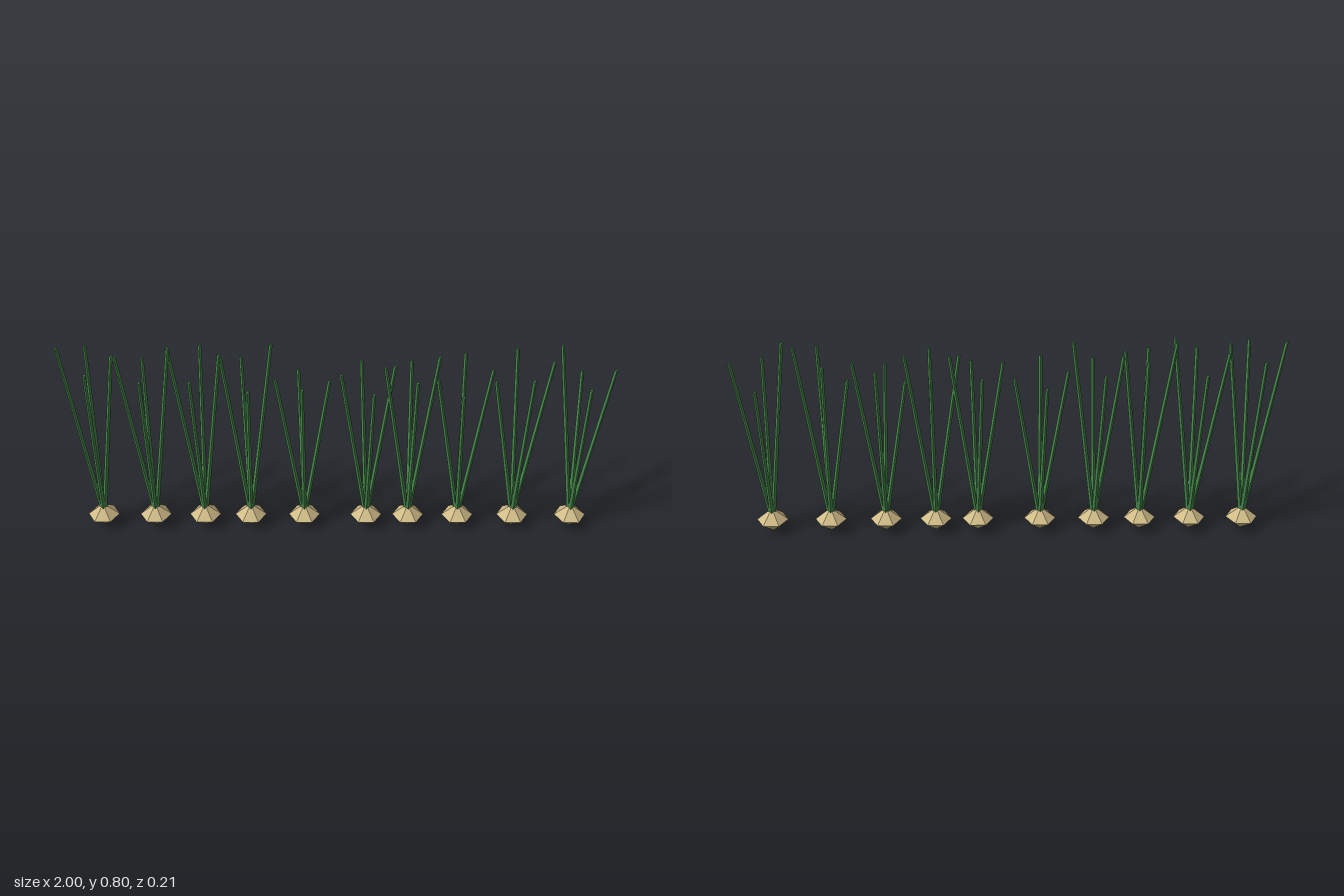
import * as THREE from 'three';

const bulbMaterial = new THREE.MeshStandardMaterial({ color: 0xcfbb88, flatShading: true });
bulbMaterial.name = 'tan bulb';
const leafMaterial = new THREE.MeshStandardMaterial({ color: 0x45854a, flatShading: true });
leafMaterial.name = 'leaf green';

// Each plant: centre x, then four leaf tips [x offset, height, z] in the order left, right, back, front
const plants = [
  [-0.896, [-0.098, 0.79, -0.012], [0.098, 0.775, 0.01], [-0.014, 0.75, -0.098], [0.014, 0.75, 0.098]],
  [-0.696, [-0.098, 0.75, -0.02], [0.098, 0.80, 0.0], [-0.012, 0.70, -0.098], [0.002, 0.72, 0.098]],
  [-0.506, [-0.098, 0.79, -0.02], [0.085, 0.76, -0.02], [0.01, 0.75, -0.098], [-0.012, 0.72, 0.098]],
  [-0.331, [-0.085, 0.74, -0.02], [0.096, 0.80, -0.025], [-0.018, 0.70, -0.098], [0.016, 0.68, 0.095]],
  [-0.126, [-0.096, 0.67, 0.005], [0.098, 0.65, -0.02], [-0.016, 0.65, -0.098], [0.002, 0.69, 0.098]],
  [0.11, [-0.096, 0.70, 0.02], [0.096, 0.73, 0.004], [-0.022, 0.69, -0.098], [0.02, 0.67, 0.098]],
  [0.27, [-0.098, 0.73, 0.015], [0.096, 0.75, -0.025], [0.0, 0.69, -0.098], [0.012, 0.72, 0.098]],
  [0.46, [-0.096, 0.65, -0.024], [0.096, 0.71, 0.0], [0.004, 0.72, -0.098], [-0.014, 0.66, 0.098]],
  [0.67, [-0.098, 0.65, -0.015], [0.096, 0.76, 0.022], [-0.02, 0.74, -0.098], [0.02, 0.73, 0.098]],
  [0.892, [-0.096, 0.80, -0.02], [0.1, 0.71, 0.0], [0.0, 0.645, -0.098], [0.0, 0.69, 0.098]],
];

// Slender four-sided tapered stalk between two points
function makeLeaf(base, tip) {
  const direction = tip.clone().sub(base);
  const geometry = new THREE.CylinderGeometry(0.0065, 0.009, direction.length(), 4);
  const leaf = new THREE.Mesh(geometry, leafMaterial);
  leaf.position.copy(base).add(tip).multiplyScalar(0.5);
  leaf.quaternion.setFromUnitVectors(new THREE.Vector3(0, 1, 0), direction.normalize());
  return leaf;
}

export function createModel() {
  const group = new THREE.Group();
  group.name = 'onionRow';

  // Six-sided double cone
  const bulbGeometry = new THREE.SphereGeometry(0.0595, 6, 2).scale(1, 0.83, 1);
  const leafNames = ['leftLeaf', 'rightLeaf', 'backLeaf', 'frontLeaf'];

  plants.forEach(([x, ...tips]) => {
    const plant = new THREE.Group();
    plant.name = 'onionPlant';
    plant.position.x = x;

    const bulb = new THREE.Mesh(bulbGeometry, bulbMaterial);
    bulb.name = 'bulb';
    bulb.position.y = 0.05;
    plant.add(bulb);

    // Leaves fan out from the heart of the bulb
    tips.forEach(([tx, ty, tz], i) => {
      const base = new THREE.Vector3(tx * 0.03, 0.06, tz * 0.03);
      const leaf = makeLeaf(base, new THREE.Vector3(tx, ty, tz));
      leaf.name = leafNames[i];
      plant.add(leaf);
    });
    group.add(plant);
  });

  return group;
}
